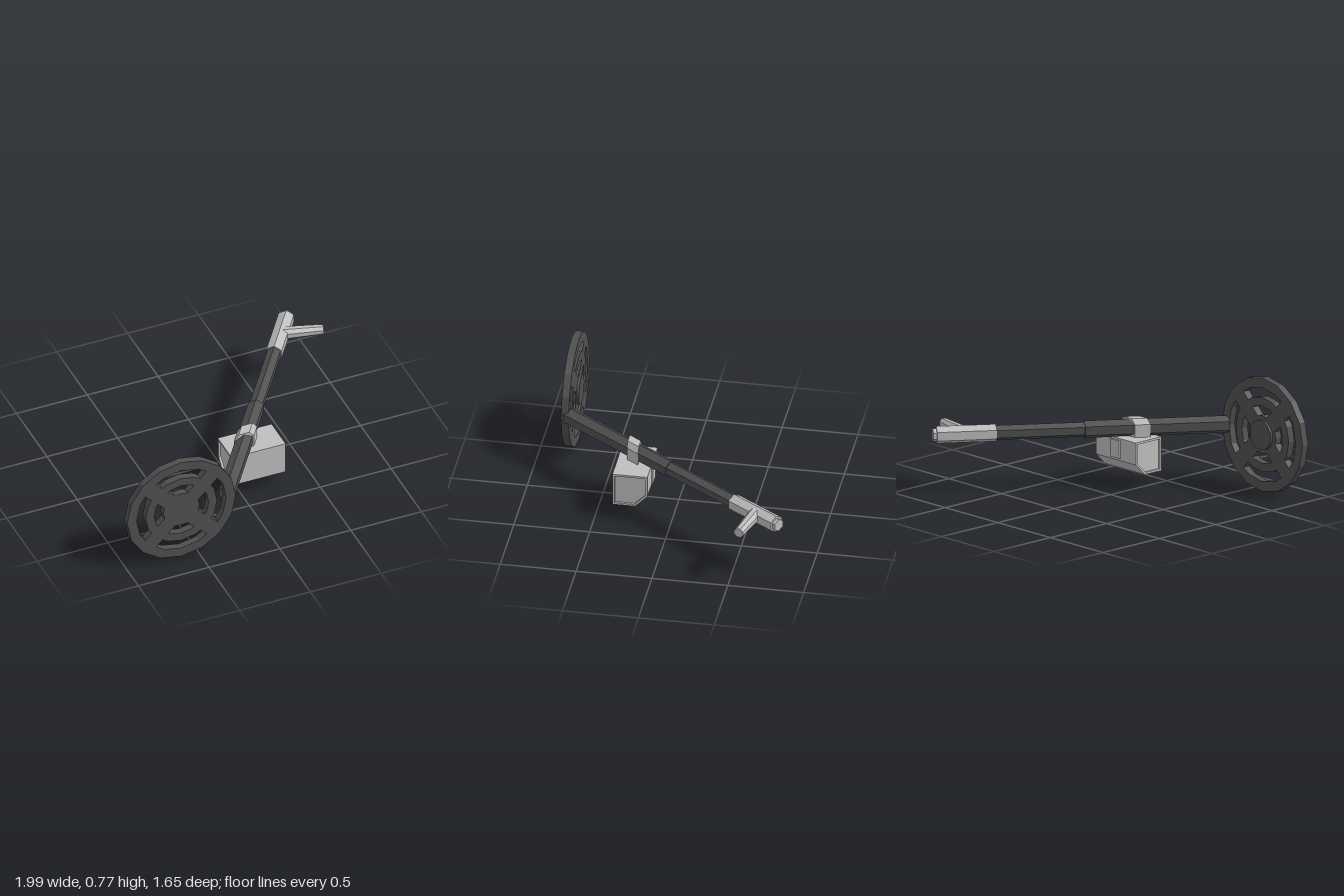
import * as THREE from 'three';

export function createModel() {
  const group = new THREE.Group();
  const darkGrey = new THREE.MeshStandardMaterial({ color: 0x505050 });
  const lightGrey = new THREE.MeshStandardMaterial({ color: 0xbebebe });
  darkGrey.name = 'dark grey';
  lightGrey.name = 'light grey';

  function add(name, geometry, material) {
    const flat = geometry.index ? geometry.toNonIndexed() : geometry;
    flat.computeVertexNormals();
    const mesh = new THREE.Mesh(flat, material);
    mesh.name = name;
    group.add(mesh);
    return mesh;
  }
  const points = (list) => list.map(([x, y]) => new THREE.Vector2(x, y));
  const extrude = (shape, depth) =>
    new THREE.ExtrudeGeometry(shape, { depth, bevelEnabled: false });

  // Horizontal prism with a corner edge on top, from [x, z] to [x, z]
  function rod(name, a, b, y, r0, r1, sides, material, turn = 0) {
    const dx = b[0] - a[0], dz = b[1] - a[1];
    const geometry = new THREE.CylinderGeometry(r1, r0, Math.hypot(dx, dz), sides);
    geometry.rotateY(turn).rotateX(Math.PI / 2).rotateY(Math.atan2(dx, dz));
    geometry.translate((a[0] + b[0]) / 2, y, (a[1] + b[1]) / 2);
    return add(name, geometry, material);
  }

  // Search coil: 16-sided disc with two rings of slots between four spokes
  const STEP = Math.PI / 8, SPOKE = 0.055;
  const disc = new THREE.Shape(points(Array.from({ length: 16 }, (_, i) =>
    [0.383 * Math.cos(i * STEP), 0.383 * Math.sin(i * STEP)])));
  for (const [inner, outer] of [[0.128, 0.193], [0.252, 0.316]]) {
    for (let q = 0; q < 4; q++) {
      const arc = (r) => {
        const end = Math.PI / 4 - Math.asin(SPOKE / r);
        const angles = end > STEP ? [-end, -STEP, 0, STEP, end] : [-end, 0, end];
        return angles.map((t) => {
          const k = Math.abs(t) === end ? 0.985 : 1;
          const angle = t + q * Math.PI / 2;
          return [r * k * Math.cos(angle), r * k * Math.sin(angle)];
        });
      };
      disc.holes.push(new THREE.Path(points([...arc(outer), ...arc(inner).reverse()])));
    }
  }
  add('searchCoil', extrude(disc, 0.05), darkGrey).position.set(-0.618, 0.385, 0.77);
  rod('coilHub', [-0.618, 0.78], [-0.618, 0.753], 0.385, 0.1, 0.1, 16, darkGrey);

  // Telescopic shaft and handle share one slanted axis
  const SLOPE = -0.699, Y = 0.388;
  const axis = (z) => [0.258 + (z - 0.008) * SLOPE, z];
  rod('lowerShaft', axis(0.785), axis(0.008), Y, 0.058, 0.058, 6, darkGrey);
  rod('upperShaft', axis(0.02), axis(-0.5), Y, 0.049, 0.049, 6, darkGrey);
  rod('handleGrip', axis(-0.467), axis(-0.787), Y, 0.058, 0.058, 6, lightGrey);
  rod('handleEndCap', axis(-0.78), axis(-0.806), Y, 0.043, 0.043, 6, lightGrey);
  rod('sideGrip', [0.72, -0.634], [0.979, -0.567], 0.395, 0.045, 0.034, 8, lightGrey, Math.PI / 8);

  // Clamp: arched block sheared to follow the shaft
  const clampShape = new THREE.Shape(points([
    [-0.07, 0.33], [0.07, 0.33], [0.07, 0.42], [0.038, 0.456], [-0.038, 0.456], [-0.07, 0.42]]));
  const clamp = extrude(clampShape, 0.083).translate(0, 0, 0.242);
  const p = clamp.attributes.position;
  for (let i = 0; i < p.count; i++) p.setX(i, p.getX(i) + axis(p.getZ(i))[0]);
  add('shaftClamp', clamp, lightGrey);

  // Control box: chamfered profile with a raised rim at each end
  const outline = [[-0.385, 0.107], [-0.235, 0.107], [-0.155, 0.187], [-0.155, 0.335], [-0.385, 0.335]];
  const inset = [[-0.371, 0.121], [-0.241, 0.121], [-0.169, 0.193], [-0.169, 0.321], [-0.371, 0.321]];
  const body = extrude(new THREE.Shape(points(outline)), 0.352).rotateY(Math.PI / 2);
  add('controlBox', body, lightGrey).position.x = -0.061;
  const rim = new THREE.Shape(points(outline));
  rim.holes.push(new THREE.Path(points(inset).reverse()));
  for (const x of [-0.075, 0.291]) {
    add('boxRim', extrude(rim, 0.014).rotateY(Math.PI / 2), lightGrey).position.x = x;
  }
  add('boxBackPlate', new THREE.BoxGeometry(0.085, 0.12, 0.02), lightGrey)
    .position.set(0.115, 0.262, 0.152);

  return group;
}
